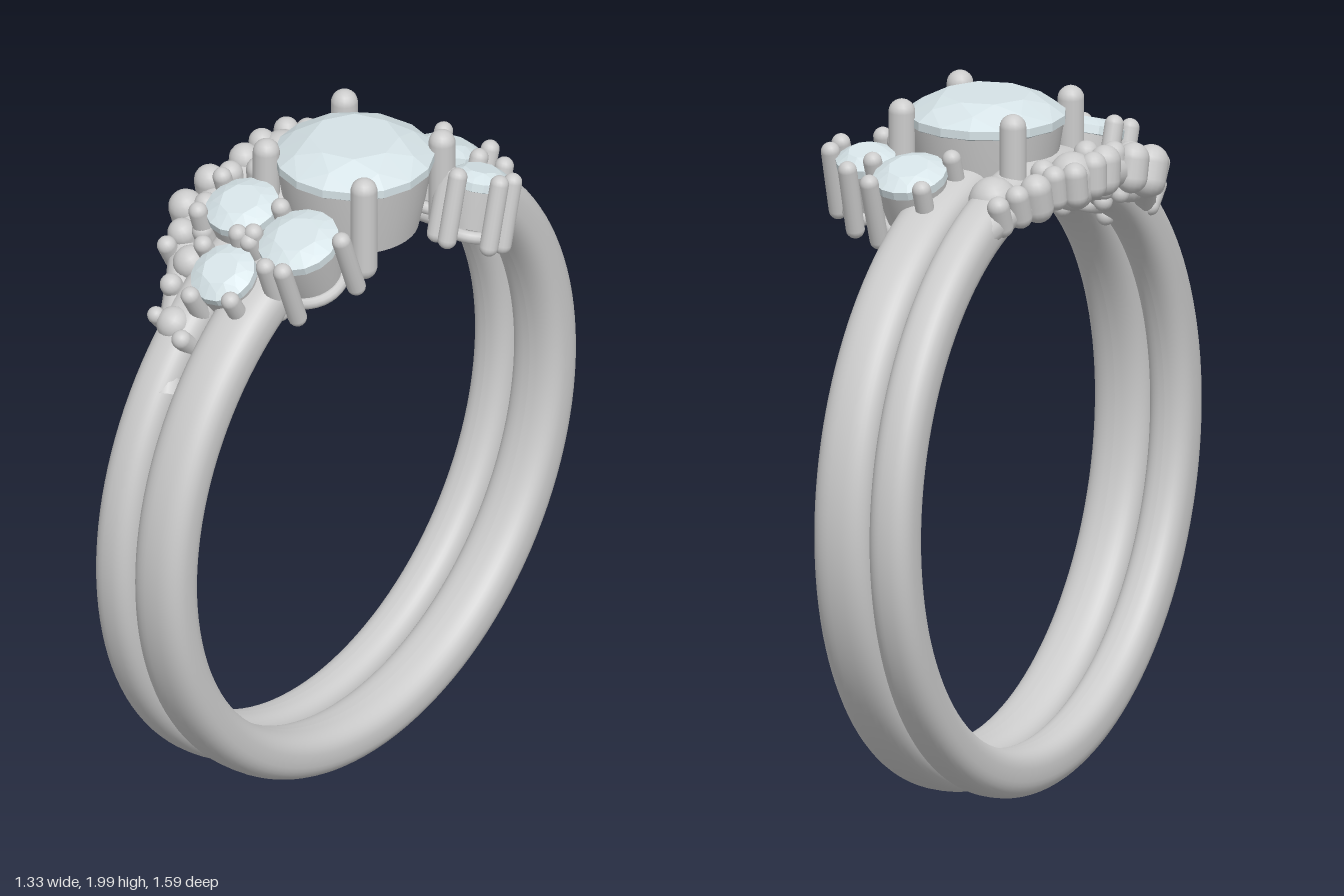
import * as THREE from 'three';
import { toCreasedNormals } from 'three/addons/utils/BufferGeometryUtils.js';
import { ConvexGeometry } from 'three/addons/geometries/ConvexGeometry.js';

const metal = new THREE.MeshStandardMaterial({ color: 0xcccccc });
const stone = new THREE.MeshStandardMaterial({ color: 0xd5e2e6, flatShading: true });

const TURN = 0.91;   // the bands stand turned about the vertical
const CY = 0.925;    // height of the finger hole's centre

// ground-plan x, z -> u along the bands, n across them
const toBand = (x, z) => ({
  u: x * Math.cos(TURN) - z * Math.sin(TURN),
  n: x * Math.sin(TURN) + z * Math.cos(TURN),
});

function add(parent, name, geometry, material, x = 0, y = 0, z = 0) {
  const mesh = new THREE.Mesh(geometry, material);
  mesh.name = name;
  mesh.position.set(x, y, z);
  parent.add(mesh);
  return mesh;
}

// Group seated at radius R on the band circle, its y axis pointing outward
function seat(parent, name, x, z, R) {
  const { u, n } = toBand(x, z);
  const g = new THREE.Group();
  g.name = name;
  g.position.set(u, CY + Math.sqrt(R * R - u * u), n);
  g.rotation.z = -Math.asin(u / R);
  parent.add(g);
  return g;
}

// Band with a rounded, slightly squared cross-section
function bandGeometry(halfWidth) {
  const pts = [];
  const soft = (v) => Math.sign(v) * Math.pow(Math.abs(v), 0.78);
  for (let i = 0; i <= 36; i++) {
    const t = Math.PI + (i / 36) * Math.PI * 2;
    pts.push(new THREE.Vector2(0.85 + 0.07 * soft(Math.cos(t)), halfWidth * soft(Math.sin(t))));
  }
  return new THREE.LatheGeometry(pts, 128).rotateX(Math.PI / 2);
}

// Brilliant-cut stone, girdle at y = 0
function gemGeometry(r, crown) {
  const pts = [new THREE.Vector3(0, -0.75 * r, 0)];
  const ring = (count, radius, y, shift) => {
    for (let i = 0; i < count; i++) {
      const a = ((i + shift) / count) * Math.PI * 2;
      pts.push(new THREE.Vector3(Math.cos(a) * radius * r, y, Math.sin(a) * radius * r));
    }
  };
  ring(8, 0.56, crown, 0);
  ring(8, 0.8, crown * 0.66, 0.5);
  ring(16, 1, 0.012, 0);
  ring(16, 1, -0.012, 0);
  ring(8, 0.5, -0.38 * r, 0.5);
  return new ConvexGeometry(pts);
}

// Open tapered cup holding a stone
function cupGeometry(r, depth) {
  const p = [[0.8, -depth], [0.9, -depth * 0.5], [0.97, -0.012], [0.86, -0.012], [0.68, -depth], [0.8, -depth]];
  const lathe = new THREE.LatheGeometry(p.map(([a, y]) => new THREE.Vector2(a * r, y)), 40);
  return toCreasedNormals(lathe, 0.6);
}

// Round-ended wire from y = bottom to y = top
function prongGeometry(r, bottom, top) {
  return new THREE.CapsuleGeometry(r, top - bottom - 2 * r, 6, 16).translate(0, (top + bottom) / 2, 0);
}

const tube = (points, r, segments) =>
  new THREE.TubeGeometry(new THREE.CatmullRomCurve3(points), segments, r, 12);

export function createModel() {
  const model = new THREE.Group();
  model.name = 'ring';
  const body = new THREE.Group();
  body.name = 'bandsAndSettings';
  body.rotation.y = TURN;
  model.add(body);

  // Two bands side by side
  add(body, 'wideBand', bandGeometry(0.087), metal, 0, CY, 0.068);
  add(body, 'narrowBand', bandGeometry(0.067), metal, 0, CY, -0.088);

  // Centre stone, upright, with four prongs
  const centre = new THREE.Group();
  centre.name = 'centreSetting';
  centre.position.set(0.05, 1.93, 0.06);
  model.add(centre);
  add(centre, 'centreStone', gemGeometry(0.225, 0.065), stone);
  add(centre, 'centreCup', cupGeometry(0.226, 0.21), metal);
  for (const [x, z] of [[0.02, -0.19], [0.295, 0.03], [0.08, 0.3], [-0.195, 0.085]]) {
    add(centre, 'centreProng', prongGeometry(0.038, -0.25, 0.068), metal, x - 0.05, 0, z - 0.06);
  }

  // Side stones: x, z, stone radius, seat radius, prong directions in plan (degrees, +x towards +z)
  const sides = [
    [-0.10, 0.36, 0.115, 0.965, [20, 110, 135, 200, 250]],
    [-0.26, 0.19, 0.105, 0.965, [95, 175, 245]],
    [-0.31, 0.38, 0.095, 0.945, [80, 148, 245, 320]],
    [0.305, -0.155, 0.105, 0.95, [45, 180, 265, 348]],
    [0.40, 0.01, 0.085, 0.935, [30, 60, 130, 160, 310]],
  ];
  for (const [x, z, r, R, dirs] of sides) {
    const g = seat(body, 'sideSetting', x, z, R);
    add(g, 'sideStone', gemGeometry(r, 0.035), stone);
    add(g, 'sideCup', cupGeometry(r, 0.13), metal);
    add(g, 'galleryRing', new THREE.TorusGeometry(r * 0.8, 0.018, 10, 32).rotateX(Math.PI / 2), metal, 0, -0.15, 0);
    for (const d of dirs) {
      const a = (d * Math.PI) / 180 + TURN;
      add(g, 'sideProng', prongGeometry(0.027, -0.19, 0.05), metal,
        Math.cos(a) * (r + 0.018), 0, Math.sin(a) * (r + 0.018));
    }
    // Strut from the foot of the setting to the wide band
    const foot = g.localToWorld.call(g, new THREE.Vector3(0, -0.15, 0));
    const inner = new THREE.Vector3(g.position.x * 0.85, 1.69 - 0.3 * g.position.x ** 2, 0.07);
    g.updateMatrix();
    foot.set(0, -0.15, 0).applyMatrix4(g.matrix);
    add(body, 'strut', tube([foot, foot.clone().lerp(inner, 0.5), inner], 0.026, 10), metal);
  }

  // Beaded edge bowing out from the narrow band: x, z, radius
  const beads = [
    [0.10, -0.37, 0.032], [0.04, -0.34, 0.034], [-0.02, -0.30, 0.045], [-0.08, -0.265, 0.034],
    [-0.14, -0.26, 0.036], [-0.21, -0.18, 0.038], [-0.26, -0.10, 0.045], [-0.30, -0.02, 0.035],
    [-0.36, -0.01, 0.045], [-0.43, 0.08, 0.05], [-0.44, 0.18, 0.042], [-0.48, 0.22, 0.028],
    [-0.42, 0.28, 0.05], [-0.47, 0.34, 0.032], [-0.47, 0.44, 0.05], [-0.44, 0.50, 0.028],
    [0.10, -0.27, 0.07], [-0.15, -0.17, 0.065], [-0.06, -0.21, 0.036], [-0.22, -0.03, 0.036],
    [-0.37, 0.10, 0.035], [-0.38, 0.20, 0.03], [-0.51, 0.41, 0.025],
  ];
  for (const [x, z, r] of beads) {
    const g = seat(body, 'beadSeat', x, z, 0.95);
    add(g, 'bead', prongGeometry(r, -0.09 - r * 1.2, 0), metal);
  }

  // Curved rail carrying the beads
  const rail = [[0.2, -0.4], [0.06, -0.31], [-0.08, -0.23], [-0.22, -0.12], [-0.33, 0.01],
    [-0.41, 0.13], [-0.43, 0.27], [-0.45, 0.4], [-0.47, 0.53]].map(([x, z]) => {
    const { u, n } = toBand(x, z);
    return new THREE.Vector3(u, CY + Math.sqrt(0.865 ** 2 - u * u), n);
  });
  add(body, 'beadRail', tube(rail, 0.045, 60), metal);

  return model;
}
